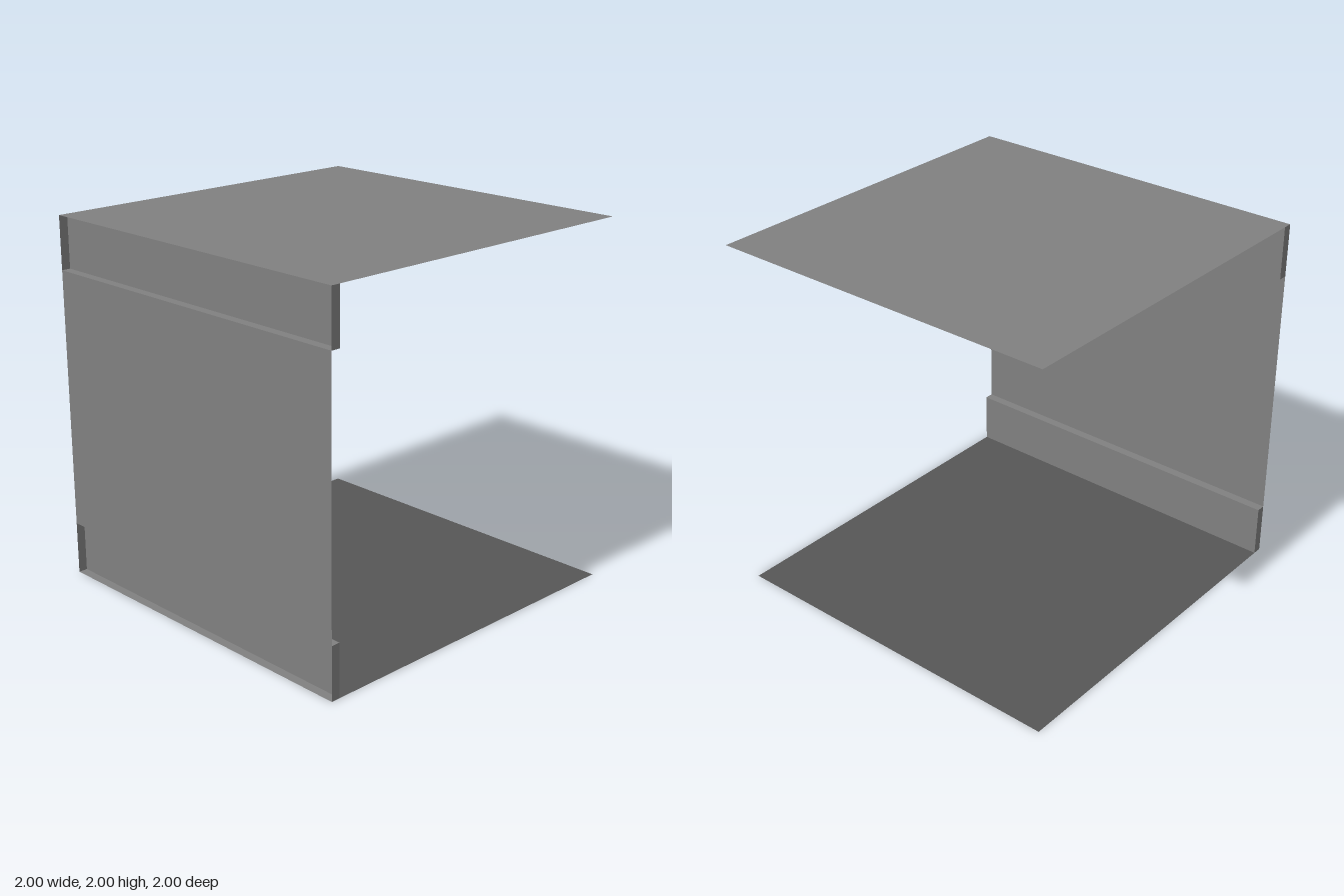
import * as THREE from 'three';

const wallGrey = new THREE.MeshStandardMaterial({ color: 0x808080, side: THREE.DoubleSide });
wallGrey.name = 'wall grey';
const floorGrey = new THREE.MeshStandardMaterial({ color: 0x565656, side: THREE.DoubleSide });
floorGrey.name = 'floor grey';

const OUT = -1, INNER = -0.95, LOW = 0.29, HIGH = 1.71, DEPTH = 2;

function panel(name, w, h, material, position, rotation = [0, 0, 0]) {
  const mesh = new THREE.Mesh(new THREE.PlaneGeometry(w, h), material);
  mesh.name = name;
  mesh.position.set(...position);
  mesh.rotation.set(...rotation);
  return mesh;
}

// Horizontal sheet from x0 to x1, running the full depth
const level = (name, x0, x1, y, material) =>
  panel(name, x1 - x0, DEPTH, material, [(x0 + x1) / 2, y, 0], [-Math.PI / 2, 0, 0]);

// Upright sheet facing +x, from y0 to y1, running the full depth
const upright = (name, x, y0, y1) =>
  panel(name, DEPTH, y1 - y0, wallGrey, [x, (y0 + y1) / 2, 0], [0, Math.PI / 2, 0]);

export function createModel() {
  const group = new THREE.Group();
  group.name = 'room section';

  // Ceiling, floor and the main side wall
  group.add(level('ceiling', OUT, 1, 2, wallGrey));
  group.add(level('floor', INNER, 1, 0, floorGrey));
  group.add(level('baseboardUnderside', OUT, INNER, 0, wallGrey));
  group.add(upright('wall', OUT, LOW, HIGH));

  // Stepped trim along the bottom and top of the wall, closed at both ends
  for (const [name, y0, y1, ledge] of [['baseboard', 0, LOW, LOW], ['cornice', HIGH, 2, HIGH]]) {
    const trim = new THREE.Group();
    trim.name = name;
    trim.add(upright(name + 'Face', INNER, y0, y1));
    trim.add(level(name + 'Ledge', OUT, INNER, ledge, wallGrey));
    for (const s of [1, -1]) {
      trim.add(panel(name + 'End', INNER - OUT, y1 - y0, wallGrey,
        [(OUT + INNER) / 2, (y0 + y1) / 2, s], [0, s > 0 ? 0 : Math.PI, 0]));
    }
    group.add(trim);
  }
  return group;
}
